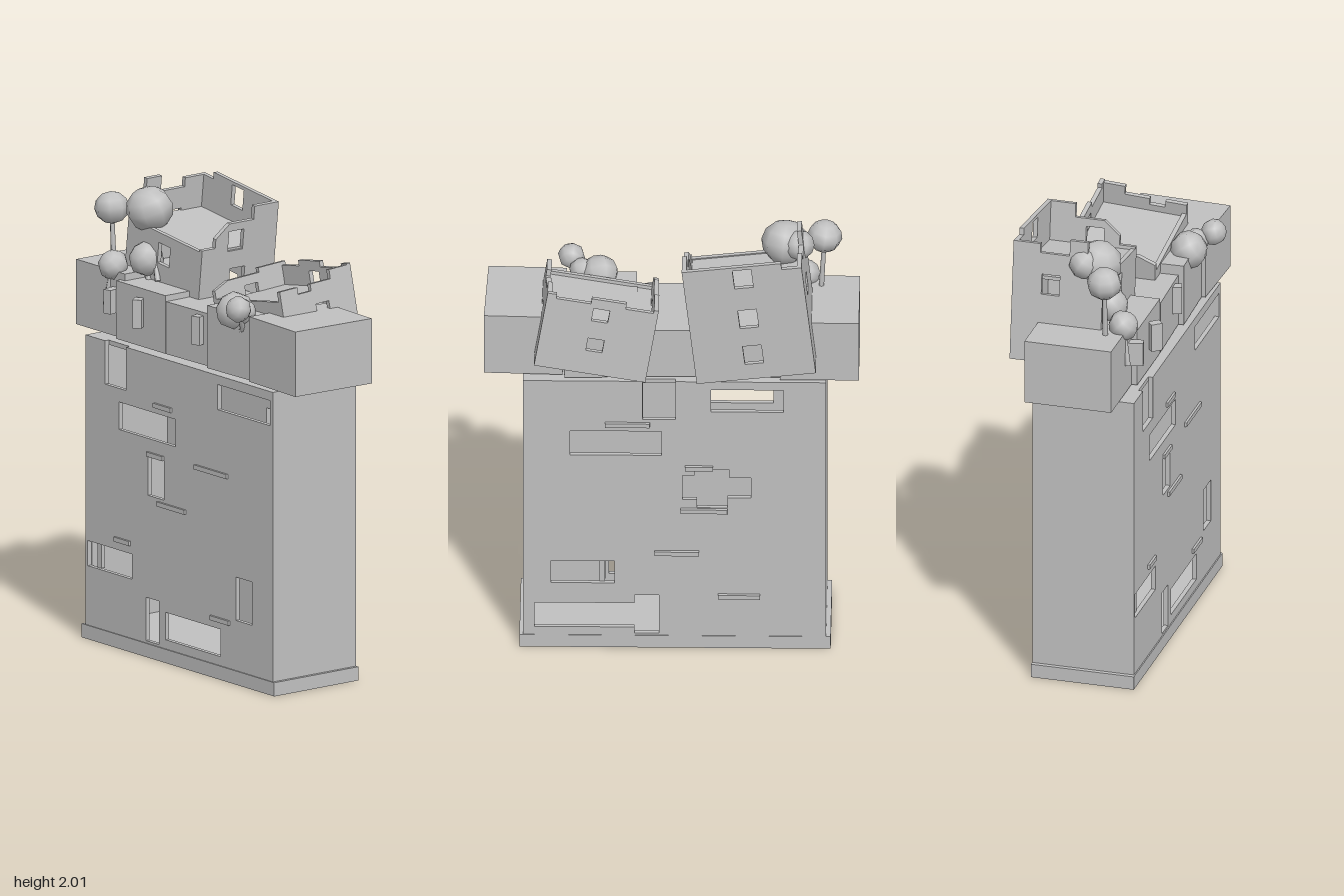
import * as THREE from 'three';

const stone = new THREE.MeshStandardMaterial({ color: 0xc0c0c0 });
stone.name = 'stone';

const rect = (x0, x1, y0, y1) => [[x0, y0], [x1, y0], [x1, y1], [x0, y1]];
const toPoints = (list) => list.map(([x, y]) => new THREE.Vector2(x, y));

function add(parent, name, geometry) {
  const mesh = new THREE.Mesh(geometry, stone);
  mesh.name = name;
  parent.add(mesh);
  return mesh;
}

// Box given by its limits, turned about its own vertical axis
function block(parent, name, x0, x1, y0, y1, z0, z1, turn = 0) {
  const mesh = add(parent, name, new THREE.BoxGeometry(x1 - x0, y1 - y0, z1 - z0));
  mesh.position.set((x0 + x1) / 2, (y0 + y1) / 2, (z0 + z1) / 2);
  mesh.rotation.y = turn;
  return mesh;
}

// Wall panel in the xy plane with openings, from z to z + depth
function panel(parent, name, outline, holes, z, depth = 0.02) {
  const shape = new THREE.Shape(toPoints(outline));
  for (const h of holes) shape.holes.push(new THREE.Path(toPoints(h)));
  const mesh = add(parent, name, new THREE.ExtrudeGeometry(shape, { depth, bevelEnabled: false }));
  mesh.position.z = z;
  return mesh;
}

// Wall panel drawn in (z, y), from x - depth to x
function sidePanel(parent, name, outline, holes, x, depth = 0.02) {
  const mesh = panel(parent, name, outline, holes, 0, depth);
  mesh.rotation.y = -Math.PI / 2;
  mesh.position.x = x;
  return mesh;
}

function makeBody() {
  const g = new THREE.Group();
  g.name = 'mainBlock';
  const top = 1.33;
  block(g, 'plinth', -0.68, 0.645, 0, 0.06, -0.217, 0.24);
  block(g, 'leftWall', 0.61, 0.63, 0.06, top, -0.195, 0.215);
  block(g, 'rightWall', -0.66, -0.64, 0.06, top, -0.195, 0.215);
  block(g, 'roofSlab', -0.64, 0.61, 1.31, top, -0.195, 0.215);

  // Outline with one notch cut into the upper edge
  const notched = (n0, n1) => [[-0.66, 0.06], [0.63, 0.06], [0.63, top], [n1, top],
    [n1, 1.14], [n0, 1.14], [n0, top], [-0.66, top]];
  panel(g, 'frontWall', notched(-0.525, -0.38), [
    rect(0.25, 0.61, 1.18, 1.29), rect(-0.43, -0.04, 0.96, 1.08),
    rect(-0.23, -0.12, 0.71, 0.895), rect(-0.645, -0.34, 0.32, 0.43),
    rect(-0.245, -0.155, 0.07, 0.26), rect(-0.11, 0.27, 0.1, 0.22),
    rect(0.375, 0.485, 0.28, 0.47),
  ], 0.215);
  panel(g, 'backWall', notched(-0.02, 0.12), [
    rect(-0.48, -0.17, 1.18, 1.29), rect(0.04, 0.43, 0.96, 1.08),
    [[-0.24, 0.7], [-0.11, 0.7], [-0.11, 0.74], [-0.05, 0.74], [-0.05, 0.86], [-0.1, 0.86],
      [-0.1, 0.89], [-0.25, 0.89], [-0.25, 0.85], [-0.34, 0.85], [-0.34, 0.75], [-0.24, 0.75]],
    rect(0.24, 0.51, 0.32, 0.43),
    [[0.05, 0.07], [0.155, 0.07], [0.155, 0.1], [0.58, 0.1], [0.58, 0.22],
      [0.155, 0.22], [0.155, 0.26], [0.05, 0.26]],
  ], -0.215);
  block(g, 'frontMullion', -0.595, -0.57, 0.32, 0.43, 0.2, 0.22);
  block(g, 'backMullion', 0.28, 0.305, 0.32, 0.43, -0.2, -0.18);

  // Narrow ledges: x0, x1, y
  const front = [[-0.185, -0.065, 1.115], [0.095, 0.32, 0.9], [-0.16, 0.03, 0.687],
    [-0.455, -0.35, 0.475], [0.205, 0.335, 0.26], [-0.23, -0.12, 0.892]];
  const back = [[0.09, 0.28, 1.115], [-0.18, -0.06, 0.9], [-0.24, -0.04, 0.687],
    [-0.12, 0.07, 0.475], [-0.38, -0.2, 0.26]];
  for (const [x0, x1, y] of front) block(g, 'frontLedge', x0, x1, y - 0.01, y + 0.01, 0.23, 0.245);
  for (const [x0, x1, y] of back) block(g, 'backLedge', x0, x1, y - 0.01, y + 0.01, -0.23, -0.21);
  return g;
}

function makeUpperBoxes() {
  const g = new THREE.Group();
  g.name = 'upperBoxes';
  block(g, 'rightEndBox', -0.8, -0.465, 1.34, 1.625, -0.21, 0.175);
  block(g, 'rightMiddleBox', -0.495, -0.155, 1.34, 1.595, -0.19, 0.2);
  block(g, 'centreBox', -0.155, 0.16, 1.34, 1.57, -0.19, 0.195, 0.03);
  block(g, 'leftMiddleBox', 0.145, 0.46, 1.34, 1.615, -0.2, 0.21, 0.03);
  block(g, 'leftEndBox', 0.455, 0.79, 1.34, 1.625, -0.175, 0.228, -0.035);
  // Small upright fins on the front
  block(g, 'fin', -0.54, -0.5, 1.45, 1.555, 0.17, 0.235, 0.2);
  block(g, 'fin', -0.33, -0.29, 1.43, 1.555, 0.2, 0.25, 0.7);
  block(g, 'fin', 0.058, 0.1, 1.43, 1.555, 0.18, 0.228, 0.3);
  return g;
}

// Tilted open house, base centred on its own origin
function makeRightHouse() {
  const g = new THREE.Group();
  g.name = 'rightHouse';
  const w = 0.255, f = 0.2, b = -0.2;
  const win = (x, y) => rect(x - 0.04, x + 0.04, y - 0.045, y + 0.045);
  panel(g, 'houseBackWall', [[-w, 0], [w, 0], [w, 0.56], [-0.17, 0.56], [-0.17, 0.53], [-w, 0.53]],
    [win(0, 0.5), win(0, 0.3), win(0, 0.12)], b);
  panel(g, 'houseFrontWall', rect(-w, w, 0, 0.39), [win(0, 0.3)], f - 0.02);
  sidePanel(g, 'houseLeftWall', [[b, 0], [f, 0], [f, 0.4], [0.13, 0.4], [0.13, 0.44], [0.06, 0.5],
    [-0.07, 0.5], [-0.07, 0.56], [b, 0.56]], [win(0.02, 0.42), win(0, 0.25)], w);
  sidePanel(g, 'houseRightWall', [[b, 0], [f, 0], [f, 0.47], [0.13, 0.47], [0.13, 0.56], [0.05, 0.56],
    [0.05, 0.49], [-0.08, 0.49], [-0.08, 0.53], [b, 0.53]], [win(-0.03, 0.35)], -w + 0.02);
  block(g, 'houseFloor', -w + 0.01, w - 0.01, 0.37, 0.385, b + 0.01, f - 0.01);
  g.position.set(-0.365, 1.42, -0.13);
  g.rotation.z = -0.115;
  return g;
}

function makeLeftHouse() {
  const g = new THREE.Group();
  g.name = 'leftHouse';
  const w = 0.24, f = 0.195, b = -0.195;
  const win = (x, y) => rect(x - 0.035, x + 0.035, y - 0.03, y + 0.03);
  panel(g, 'houseBackWall', [[-w, 0], [w, 0], [w, 0.355], [0.2, 0.355], [0.2, 0.335], [0.05, 0.335],
    [0.05, 0.36], [-0.1, 0.36], [-0.1, 0.335], [-w, 0.335]], [win(0, 0.285), win(0, 0.14)], b);
  panel(g, 'houseFrontWall', rect(-w, w, 0, 0.265), [], f - 0.02);
  sidePanel(g, 'houseLeftWall', [[b, 0], [f, 0], [f, 0.31], [0.1, 0.31], [0.1, 0.28], [0.03, 0.28],
    [0.03, 0.31], [-0.08, 0.31], [-0.08, 0.35], [b, 0.35]], [win(-0.02, 0.19)], w);
  sidePanel(g, 'houseRightWall', [[b, 0], [f, 0], [f, 0.3], [0.12, 0.33], [-0.05, 0.33],
    [-0.05, 0.35], [b, 0.35]], [win(0, 0.26)], -w + 0.02);
  block(g, 'houseFloor', -w + 0.01, w - 0.01, 0.235, 0.25, b + 0.01, f - 0.01);
  g.position.set(0.345, 1.4, -0.095);
  g.rotation.set(0.06, 0, 0.165);
  return g;
}

function makeTrees() {
  const g = new THREE.Group();
  g.name = 'trees';
  const up = new THREE.Vector3(0, 1, 0);
  // Crown centre, radius, trunk foot
  const trees = [
    [[-0.65, 1.87, 0.1], 0.076, [-0.635, 1.6, 0.1]],
    [[-0.485, 1.885, 0.025], 0.105, [-0.36, 1.6, 0.08]],
    [[-0.54, 1.9, -0.02], 0.07, [-0.59, 1.6, 0.04]],
    [[-0.565, 1.645, 0.16], 0.067, [-0.585, 1.47, 0.185]],
    [[-0.45, 1.68, 0.07], 0.078, [-0.42, 1.56, 0.08]],
    [[0.31, 1.62, 0.19], 0.084, [0.36, 1.53, 0.19]],
    [[0.385, 1.63, 0.2], 0.055, [0.37, 1.54, 0.2]],
    [[0.43, 1.66, 0.265], 0.058, [0.38, 1.55, 0.2]],
  ];
  trees.forEach(([c, r, foot], i) => {
    const crown = add(g, 'treeCrown', new THREE.SphereGeometry(r, 8, 6));
    crown.position.set(...c);
    crown.rotation.set(0.2 * i, 0.7 * i, 0.15);
    crown.scale.y = 0.92;
    const a = new THREE.Vector3(...foot), b = new THREE.Vector3(...c);
    const trunk = add(g, 'treeTrunk', new THREE.CylinderGeometry(0.01, 0.013, a.distanceTo(b), 6));
    trunk.position.copy(a).lerp(b, 0.5);
    trunk.quaternion.setFromUnitVectors(up, b.sub(a).normalize());
  });
  return g;
}

export function createModel() {
  const model = new THREE.Group();
  model.name = 'stackedBuilding';
  model.add(makeBody(), makeUpperBoxes(), makeRightHouse(), makeLeftHouse(), makeTrees());
  return model;
}
